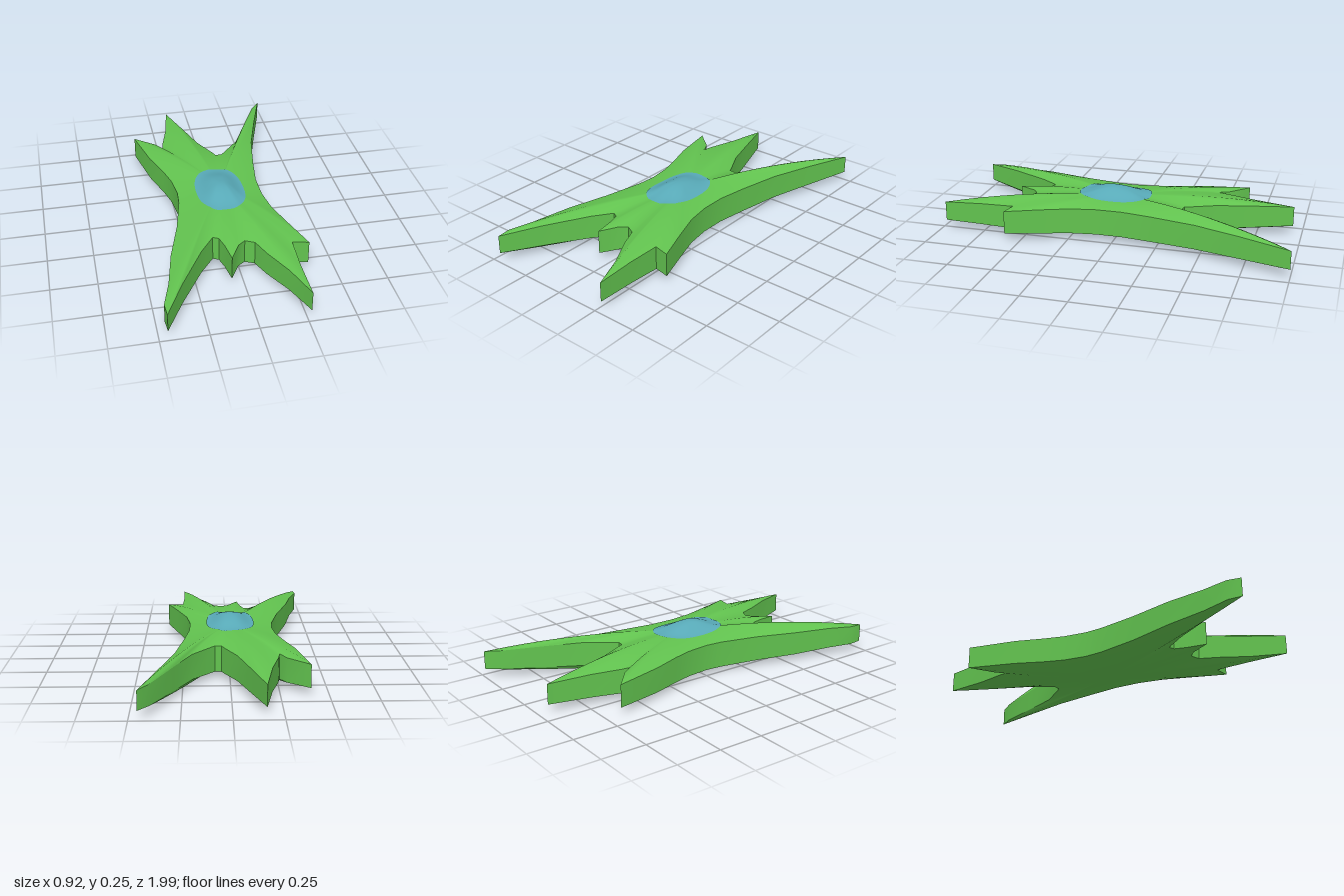
import * as THREE from 'three';
import { toCreasedNormals } from 'three/addons/utils/BufferGeometryUtils.js';

// Splat outline as [x, z], clockwise seen from above; star-shaped about the origin
const OUTLINE = [
  [0.455, -1], [0.365, -0.72], [0.29, -0.47], [0.245, -0.22], [0.22, -0.05], [0.22, 0.1], [0.242, 0.24],
  [0.295, 0.4], [0.36, 0.585], [0.272, 0.565], [0.266, 0.75], [0.27, 0.975],
  [0.2, 0.79], [0.12, 0.635], [0.08, 0.535], [0.03, 0.51], [-0.01, 0.54], [-0.065, 0.64],
  [-0.082, 0.53], [-0.1, 0.465], [-0.13, 0.45], [-0.21, 0.555], [-0.35, 0.79], [-0.455, 0.99],
  [-0.46, 0.915], [-0.415, 0.77], [-0.37, 0.555], [-0.3, 0.32], [-0.253, 0.1], [-0.245, 0],
  [-0.26, -0.13], [-0.29, -0.24], [-0.345, -0.4], [-0.405, -0.665],
  [-0.29, -0.565], [-0.255, -0.5], [-0.247, -0.555], [-0.205, -0.715], [-0.165, -0.95],
  [-0.1, -0.74], [-0.035, -0.53], [0.03, -0.4], [0.045, -0.365], [0.08, -0.36],
  [0.2, -0.5], [0.29, -0.69], [0.4, -0.925],
];

// Heights from the distance to the centre (r) and the share of the way to the rim (t)
const topY = (r, t) => 0.183 - 0.022 * r * r + 0.018 * (1 - t * t) + 0.07 * r * (1 - t);
const bottomY = (r, t) => 0.034 + 0.017 * r * r - 0.031 * (1 - t * t);

// Share of the way from the centre to the rim at a point
function rimShare(x, z) {
  const cross = (a, b) => a[0] * b[1] - a[1] * b[0];
  const p = [x, z];
  for (let i = 0; i < OUTLINE.length; i++) {
    const a = OUTLINE[i], b = OUTLINE[(i + 1) % OUTLINE.length];
    if (cross(a, p) >= 0 && cross(p, b) >= 0) {
      const d = [b[0] - a[0], b[1] - a[1]];
      return cross(p, d) / cross(a, d);
    }
  }
  return 0;
}

// Sheet of shrinking rings inside a clockwise outline; height(x, z, t) lifts it
function ringSheet(outline, centre, rings, height, facesDown = false) {
  const n = outline.length, pos = [], index = [];
  const tri = (a, b, c) => index.push(...(facesDown ? [a, c, b] : [a, b, c]));
  pos.push(centre[0], height(centre[0], centre[1], 0), centre[1]);
  for (let k = 1; k <= rings; k++) {
    const t = k / rings;
    for (const [ox, oz] of outline) {
      const x = centre[0] + (ox - centre[0]) * t, z = centre[1] + (oz - centre[1]) * t;
      pos.push(x, height(x, z, t), z);
    }
  }
  for (let i = 0; i < n; i++) {
    const j = (i + 1) % n;
    tri(0, 1 + j, 1 + i);
    for (let k = 0; k < rings - 1; k++) {
      const a = 1 + k * n + i, b = 1 + k * n + j;
      tri(a, b, b + n);
      tri(a, b + n, a + n);
    }
  }
  return makeGeometry(pos, index);
}

function makeGeometry(pos, index) {
  const g = new THREE.BufferGeometry();
  g.setAttribute('position', new THREE.Float32BufferAttribute(pos, 3));
  g.setIndex(index);
  g.computeVertexNormals();
  return g;
}

// Upright wall joining the rims of the top and the underside
function rimWall() {
  const pos = [], index = [], n = OUTLINE.length;
  OUTLINE.forEach(([x, z], i) => {
    const r = Math.hypot(x, z), a = 2 * i, b = 2 * ((i + 1) % n);
    pos.push(x, topY(r, 1), z, x, bottomY(r, 1), z);
    index.push(a, b, b + 1, a, b + 1, a + 1);
  });
  return toCreasedNormals(makeGeometry(pos, index), 0.6);
}

export function createModel() {
  const model = new THREE.Group();
  model.name = 'splat';
  const green = new THREE.MeshStandardMaterial({ color: 0x62c34f });
  green.name = 'green';
  const blue = new THREE.MeshStandardMaterial({ color: 0x58aab8 });
  blue.name = 'blue';
  const add = (name, geometry, material) => {
    const mesh = new THREE.Mesh(geometry, material);
    mesh.name = name;
    model.add(mesh);
  };

  // Spiky body: bulging top, belly and the wall between them
  const centre = [0, 0];
  add('bodyTop', ringSheet(OUTLINE, centre, 10, (x, z, t) => topY(Math.hypot(x, z), t)), green);
  add('bodyUnderside', ringSheet(OUTLINE, centre, 10, (x, z, t) => bottomY(Math.hypot(x, z), t), true), green);
  add('bodyRim', rimWall(), green);

  // Low dome with a rounded oblong footprint, following the body's surface at its edge
  const domeOutline = [];
  const squash = (v) => Math.sign(v) * Math.pow(Math.abs(v), 0.8);
  for (let i = 0; i < 40; i++) {
    const a = (i / 40) * Math.PI * 2;
    domeOutline.push([-0.01 + 0.135 * squash(Math.cos(a)), 0.045 + 0.207 * squash(Math.sin(a))]);
  }
  const domeY = (x, z, t) =>
    topY(Math.hypot(x, z), rimShare(x, z)) + 0.003 + 0.045 * (0.5 + 0.5 * Math.cos(Math.PI * Math.pow(t, 1.15)));
  add('dome', ringSheet(domeOutline, [-0.01, 0.045], 10, domeY), blue);

  return model;
}
